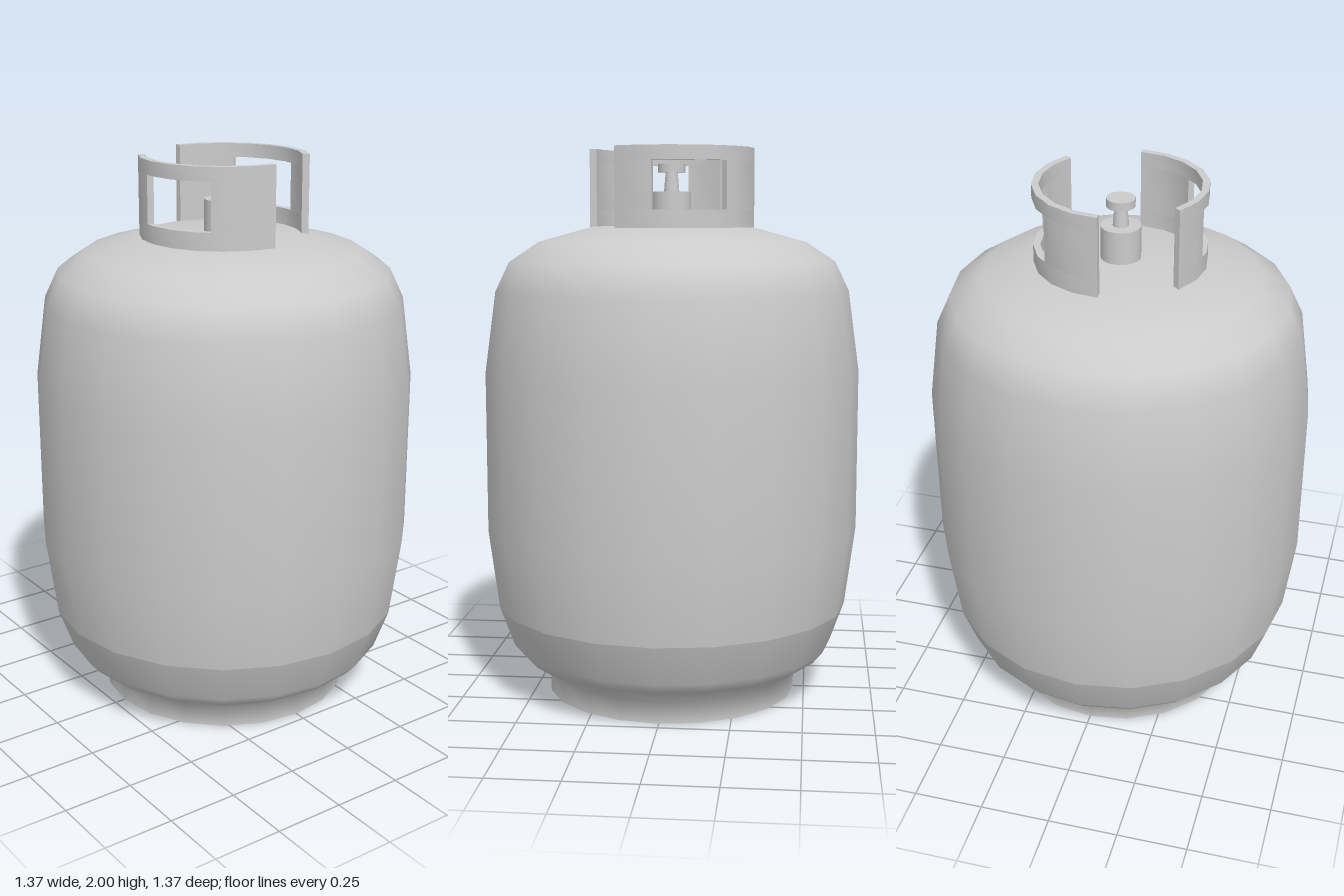
import * as THREE from 'three';
import { toCreasedNormals } from 'three/addons/utils/BufferGeometryUtils.js';

const SIDES = 20;
const STEP = 360 / SIDES;
const grey = new THREE.MeshStandardMaterial({ color: 0xcccccc });

function add(parent, name, geometry) {
  const mesh = new THREE.Mesh(geometry, grey);
  mesh.name = name;
  parent.add(mesh);
  return mesh;
}

function lathe(points) {
  return new THREE.LatheGeometry(points.map(([r, y]) => new THREE.Vector2(r, y)), SIDES);
}

// Point on a faceted ring; angle in degrees from +x towards +z
function ringPoint(radius, angle) {
  const off = ((angle % STEP) - STEP / 2) * Math.PI / 180;
  const r = radius * Math.cos(Math.PI / SIDES) / Math.cos(off);
  const a = angle * Math.PI / 180;
  return new THREE.Vector2(r * Math.cos(a), r * Math.sin(a));
}

// Curved plate between two angles and two heights
function curvedPlate(from, to, bottom, top) {
  const angles = [from];
  for (let a = STEP; a < to; a += STEP) if (a > from) angles.push(a);
  angles.push(to);
  const outer = angles.map(a => ringPoint(0.3, a));
  const inner = angles.map(a => ringPoint(0.275, a)).reverse();
  const geometry = new THREE.ExtrudeGeometry(new THREE.Shape([...outer, ...inner]),
    { depth: top - bottom, bevelEnabled: false });
  geometry.rotateX(Math.PI / 2).translate(0, top, 0);
  return toCreasedNormals(geometry, 0.6);
}

// Half of the guard: two rails and two posts around a window
function guardHalf(name) {
  const half = new THREE.Group();
  half.name = name;
  add(half, 'bottomRail', curvedPlate(0, 126, 1.715, 1.78));
  add(half, 'topRail', curvedPlate(0, 126, 1.95, 2));
  add(half, 'widePost', curvedPlate(0, 44, 1.78, 1.95));
  add(half, 'narrowPost', curvedPlate(98, 126, 1.78, 1.95));
  return half;
}

export function createModel() {
  const model = new THREE.Group();
  model.name = 'gasCylinder';

  // Tank with its foot
  const tank = new THREE.Group();
  tank.name = 'tank';
  model.add(tank);
  add(tank, 'footAndBelly', lathe([
    [0.46, 0], [0.46, 0.08], [0.56, 0.145], [0.595, 0.185], [0.647, 0.33]]));
  add(tank, 'shell', lathe([
    [0.647, 0.33], [0.685, 0.62], [0.685, 1.2], [0.645, 1.49],
    [0.595, 1.595], [0.49, 1.665], [0.29, 1.72], [0, 1.73]]));
  add(tank, 'footBase', new THREE.CircleGeometry(0.46, SIDES).rotateX(Math.PI / 2));

  // Guard around the valve, two halves turned half a circle apart
  const guard = new THREE.Group();
  guard.name = 'guard';
  model.add(guard);
  const backHalf = guardHalf('backGuard');
  backHalf.rotation.y = Math.PI;
  guard.add(guardHalf('frontGuard'), backHalf);

  // Valve
  const valve = new THREE.Group();
  valve.name = 'valve';
  model.add(valve);
  const turned = [
    ['valveBody', 0.07, 0.07, 1.715, 1.845],
    ['valveStem', 0.022, 0.028, 1.845, 1.915],
    ['valveKnob', 0.05, 0.05, 1.915, 1.945],
  ];
  for (const [name, rTop, rBottom, bottom, top] of turned) {
    add(valve, name, new THREE.CylinderGeometry(rTop, rBottom, top - bottom, 20))
      .position.y = (top + bottom) / 2;
  }
  return model;
}
